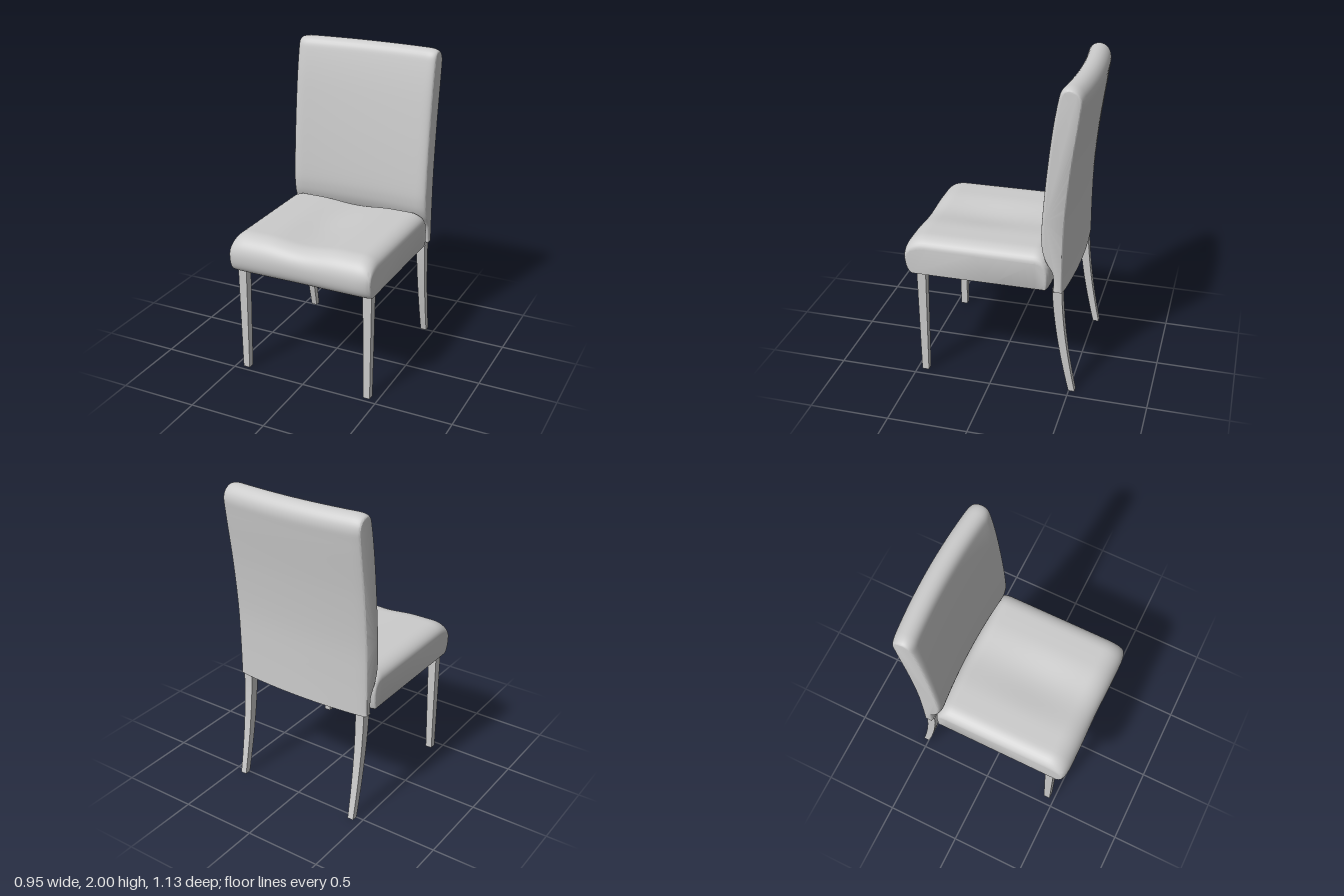
import * as THREE from 'three';
import { toCreasedNormals } from 'three/addons/utils/BufferGeometryUtils.js';

const HALF = 0.477; // half width of the upholstery
const material = new THREE.MeshStandardMaterial({ color: 0xcccccc, side: THREE.DoubleSide });

function addMesh(parent, name, geometry) {
  const mesh = new THREE.Mesh(geometry, material);
  mesh.name = name;
  parent.add(mesh);
  return mesh;
}

// Stations across the width; e is 0 on the flat and rises to 1 round the side edge.
function widthStations(rounding) {
  const right = [];
  for (let i = 0; i <= 12; i++) right.push({ x: (HALF - rounding) * i / 12, e: 0 });
  for (let i = 1; i <= 8; i++) {
    const a = (i / 8) * Math.PI / 2;
    right.push({ x: HALF - rounding + rounding * Math.sin(a), e: 1 - Math.cos(a) });
  }
  const left = right.slice(1).reverse().map(s => ({ x: -s.x, e: s.e }));
  return [...left, ...right];
}

// Sweep a counterclockwise (z, y) side profile across x; shape(p, n, station) bends each section.
function cushion(profile, divisions, rounding, shape) {
  const pts = profile.getSpacedPoints(divisions).slice(0, -1);
  const n = pts.length;
  const normals = pts.map((p, j) => {
    const t = pts[(j + 1) % n].clone().sub(pts[(j + n - 1) % n]).normalize();
    return new THREE.Vector2(t.y, -t.x);
  });
  const stations = widthStations(rounding);
  const pos = [], index = [];
  const sections = stations.map(s => pts.map((p, j) => shape(p, normals[j], s)));
  sections.forEach((sec, i) => sec.forEach(p => pos.push(stations[i].x, p.y, p.x)));
  const last = stations.length - 1;
  for (let i = 0; i < last; i++) {
    for (let j = 0; j < n; j++) {
      const k = (j + 1) % n;
      const a = i * n + j, b = a + n, c = i * n + k, d = c + n;
      index.push(a, b, c, b, d, c);
    }
  }
  // Side panels
  for (const [a, b, c] of THREE.ShapeUtils.triangulateShape(sections[0], [])) index.push(a, b, c);
  for (const [a, b, c] of THREE.ShapeUtils.triangulateShape(sections[last], [])) {
    index.push(last * n + a, last * n + c, last * n + b);
  }
  const geo = new THREE.BufferGeometry();
  geo.setAttribute('position', new THREE.Float32BufferAttribute(pos, 3));
  geo.setIndex(index);
  return toCreasedNormals(geo, 0.7);
}

// Tapered square leg: path(t) gives the centre z, t running from top (0) to foot (1).
function leg(path, top, foot, height) {
  const geo = new THREE.BoxGeometry(1, 1, 1, 1, 14, 1);
  const p = geo.attributes.position;
  for (let i = 0; i < p.count; i++) {
    const t = 0.5 - p.getY(i);
    const w = THREE.MathUtils.lerp(top, foot, t);
    p.setXYZ(i, p.getX(i) * w, height * (1 - t), p.getZ(i) * w + path(t));
  }
  return toCreasedNormals(geo, 0.5);
}

export function createModel() {
  const chair = new THREE.Group();
  chair.name = 'diningChair';

  // Seat cushion: rounded front and rear, softened top edges, shallow hollow in the middle
  const seat = new THREE.Shape();
  seat.moveTo(-0.345, 0.715);
  seat.lineTo(0.5, 0.715);
  seat.bezierCurveTo(0.545, 0.72, 0.562, 0.77, 0.562, 0.825);
  seat.bezierCurveTo(0.562, 0.9, 0.51, 0.958, 0.42, 0.958);
  seat.lineTo(-0.27, 0.958);
  seat.bezierCurveTo(-0.34, 0.953, -0.37, 0.88, -0.37, 0.81);
  seat.bezierCurveTo(-0.37, 0.75, -0.37, 0.715, -0.345, 0.715);
  addMesh(chair, 'seat', cushion(seat, 150, 0.1, (p, n, s) => {
    const up = Math.max(n.y, 0), down = Math.max(-n.y, 0);
    const across = Math.abs(s.x) < 0.26 ? 0.5 + 0.5 * Math.cos(Math.PI * s.x / 0.26) : 0;
    const hollow = across * (0.018 + 0.01 * Math.exp(-(((p.x - 0.15) / 0.25) ** 2)));
    return new THREE.Vector2(
      p.x - n.x * 0.028 * s.e - Math.max(n.x, 0) * 0.005 * across,
      p.y - up * (0.068 * s.e + hollow) + down * 0.008 * s.e ** 3);
  }));

  // Backrest: padded slab leaning back, gently wrapped around the sitter
  const back = new THREE.Shape();
  const v = (z, y) => new THREE.Vector2(z, y);
  back.moveTo(-0.48, 0.715);
  back.lineTo(-0.41, 0.715);
  back.splineThru([
    v(-0.402, 0.83), v(-0.355, 0.92), v(-0.334, 1.0), v(-0.331, 1.12), v(-0.35, 1.4),
    v(-0.381, 1.7), v(-0.412, 1.9), v(-0.435, 1.975), v(-0.483, 2.0), v(-0.535, 1.982),
    v(-0.565, 1.925), v(-0.556, 1.82), v(-0.514, 1.5), v(-0.487, 1.2), v(-0.48, 0.95), v(-0.48, 0.715),
  ]);
  addMesh(chair, 'backrest', cushion(back, 190, 0.07, (p, n, s) => {
    const inset = s.e * (n.x > 0 ? 0.03 : 0.012);
    return new THREE.Vector2(
      p.x - n.x * inset + 0.03 * (s.x / HALF) ** 2,
      p.y - Math.max(n.y, 0) * 0.022 * s.e);
  }));

  // Straight front legs and rear legs sweeping backwards
  const frontGeo = leg(() => 0.447, 0.058, 0.044, 0.73);
  const rearGeo = leg(t => -0.414 - 0.104 * t ** 1.6, 0.06, 0.04, 0.73);
  for (const [side, x] of [['Left', 0.428], ['Right', -0.428]]) {
    addMesh(chair, 'frontLeg' + side, frontGeo).position.x = x;
    addMesh(chair, 'rearLeg' + side, rearGeo).position.x = x;
  }
  return chair;
}
